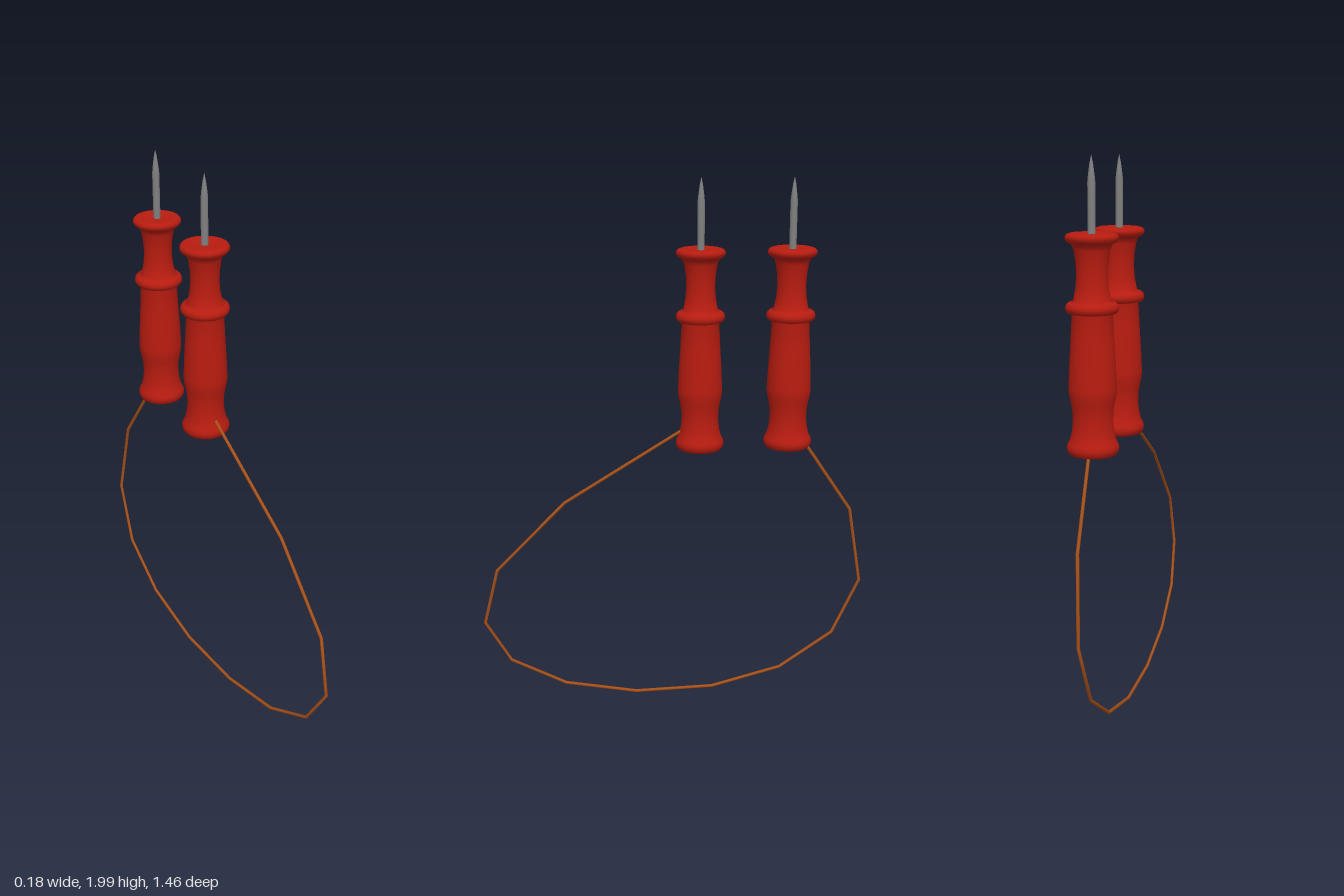
import * as THREE from 'three';

const paint = (color) => new THREE.MeshStandardMaterial({ color });

// Turned shape from [radius, height] pairs, bottom to top
function lathe(name, profile, sides, material) {
  const points = profile.map(([r, y]) => new THREE.Vector2(r, y));
  const mesh = new THREE.Mesh(new THREE.LatheGeometry(points, sides), material);
  mesh.name = name;
  return mesh;
}

// Straight-segment path that passes exactly through its points
class Polyline extends THREE.Curve {
  constructor(points) {
    super();
    this.points = points;
  }
  getPoint(t, target = new THREE.Vector3()) {
    const f = t * (this.points.length - 1) + 1e-9;
    const i = Math.min(Math.floor(f), this.points.length - 2);
    return target.lerpVectors(this.points[i], this.points[i + 1], f - i);
  }
  getPointAt(u, target) {
    return this.getPoint(u, target);
  }
  // Mitre direction at each bend
  getTangentAt(u, target = new THREE.Vector3()) {
    const last = this.points.length - 1;
    const i = Math.round(u * last);
    const p = this.points;
    const step = (a, b) => p[b].clone().sub(p[a]).normalize();
    target.set(0, 0, 0);
    if (i > 0) target.add(step(i - 1, i));
    if (i < last) target.add(step(i, i + 1));
    return target.normalize();
  }
}

const handleProfile = [
  [0, 1.022], [0.066, 1.022], [0.078, 1.026], [0.086, 1.037], [0.088, 1.05],
  [0.084, 1.063], [0.077, 1.076], [0.071, 1.1], [0.067, 1.135], [0.068, 1.17],
  [0.073, 1.2], [0.079, 1.228], [0.08, 1.25], [0.077, 1.32], [0.072, 1.4],
  [0.067, 1.495], [0.08, 1.498], [0.086, 1.506], [0.088, 1.515], [0.085, 1.525],
  [0.077, 1.533], [0.062, 1.538], [0.054, 1.58], [0.051, 1.62], [0.053, 1.66],
  [0.059, 1.7], [0.066, 1.718], [0.08, 1.726], [0.087, 1.735], [0.087, 1.744],
  [0.081, 1.752], [0.068, 1.756], [0.03, 1.75], [0, 1.75],
];

const needleProfile = [
  [0.013, 1.74], [0.013, 1.915], [0.011, 1.935], [0.006, 1.972], [0, 2],
];

// Cable points as [x, y, z], starting and ending inside the handles
const cablePoints = [
  [0, 1.11, -0.05], [-0.003, 0.825, 0.41], [-0.01, 0.56, 0.67], [-0.018, 0.345, 0.725],
  [-0.029, 0.178, 0.633], [-0.038, 0.065, 0.425], [-0.045, 0.012, 0.15],
  [-0.05, 0.018, -0.15], [-0.052, 0.09, -0.42], [-0.05, 0.235, -0.625],
  [-0.04, 0.46, -0.722], [-0.023, 0.76, -0.668], [-0.002, 1.09, -0.445],
];

export function createModel() {
  const model = new THREE.Group();
  model.name = 'probePair';
  const red = paint(0xb81c10);
  const steel = paint(0x808080);
  const copper = paint(0xa85018);

  // Two identical probes, one behind the other
  [['frontProbe', -0.09], ['rearProbe', -0.415]].forEach(([name, z]) => {
    const probe = new THREE.Group();
    probe.name = name;
    probe.position.z = z;
    probe.add(lathe('handle', handleProfile, 40, red));
    probe.add(lathe('needle', needleProfile, 16, steel));
    model.add(probe);
  });

  // Angular cable joining the probes
  const path = new Polyline(cablePoints.map((p) => new THREE.Vector3(...p)));
  const cable = new THREE.Mesh(
    new THREE.TubeGeometry(path, cablePoints.length - 1, 0.006, 8), copper);
  cable.name = 'cable';
  model.add(cable);

  return model;
}
